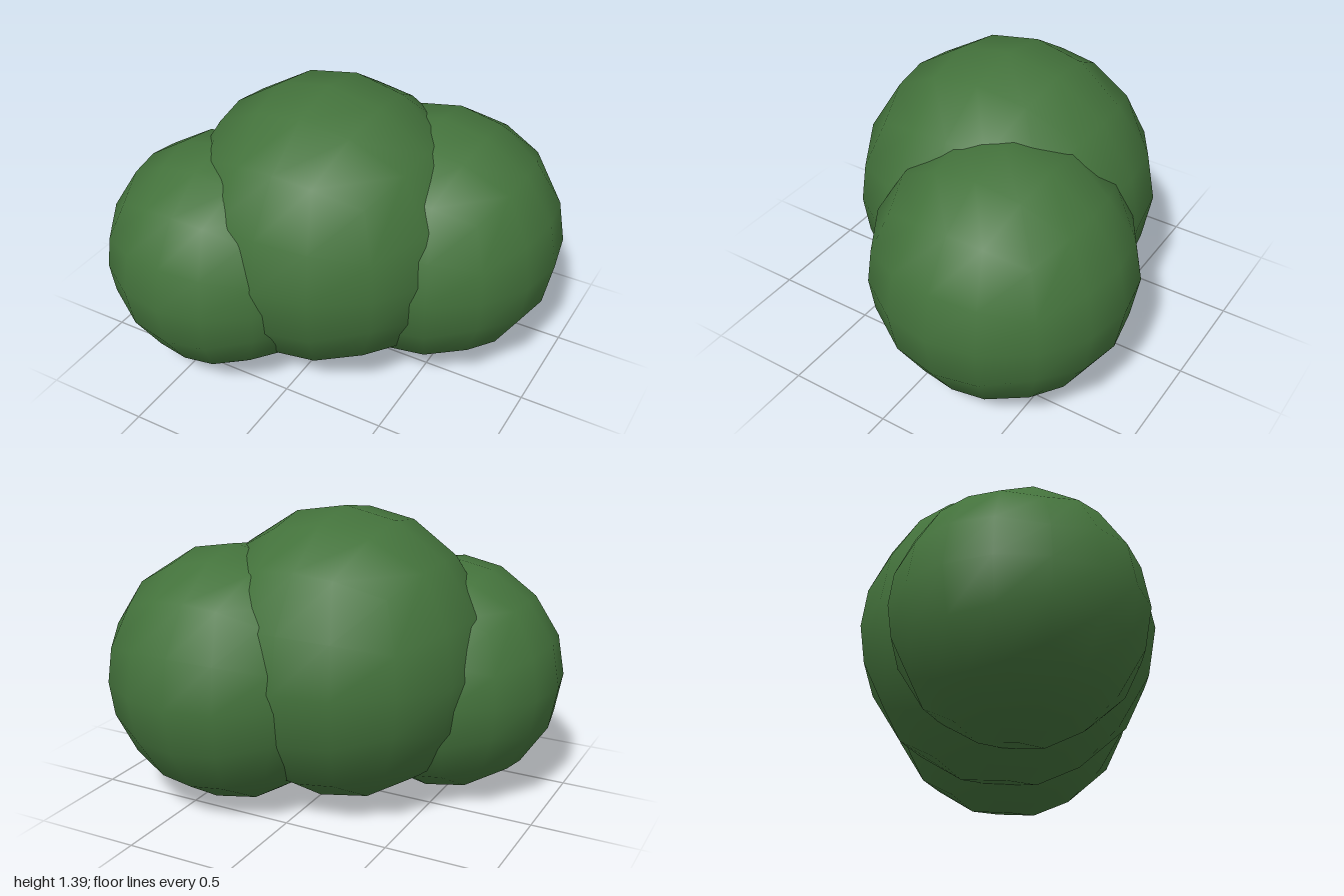
import * as THREE from 'three';

const foliage = new THREE.MeshStandardMaterial({ color: 0x44733c });

// Low-poly ball: a 4x4x4 cube grid pushed out to a sphere, with smooth normals
function ballGeometry(radius) {
  const geo = new THREE.BoxGeometry(2, 2, 2, 4, 4, 4);
  const pos = geo.attributes.position;
  const normal = geo.attributes.normal;
  const v = new THREE.Vector3();
  const spread = (t) => (Math.abs(t) > 0.75 ? Math.sign(t) : t * 0.78);
  for (let i = 0; i < pos.count; i++) {
    v.fromBufferAttribute(pos, i);
    v.set(spread(v.x), spread(v.y), spread(v.z)).normalize();
    normal.setXYZ(i, v.x, v.y, v.z);
    v.multiplyScalar(radius);
    pos.setXYZ(i, v.x, v.y, v.z);
  }
  return geo;
}

// A leafy clump resting on the ground
function clump(name, radius, x, z) {
  const mesh = new THREE.Mesh(ballGeometry(radius), foliage);
  mesh.name = name;
  mesh.position.set(x, radius, z);
  return mesh;
}

export function createModel() {
  const bush = new THREE.Group();
  bush.name = 'bush';
  bush.add(
    clump('middleClump', 0.695, -0.045, 0),
    clump('backLeftClump', 0.61, 0.39, -0.26),
    clump('frontRightClump', 0.565, -0.435, 0.305)
  );
  return bush;
}
